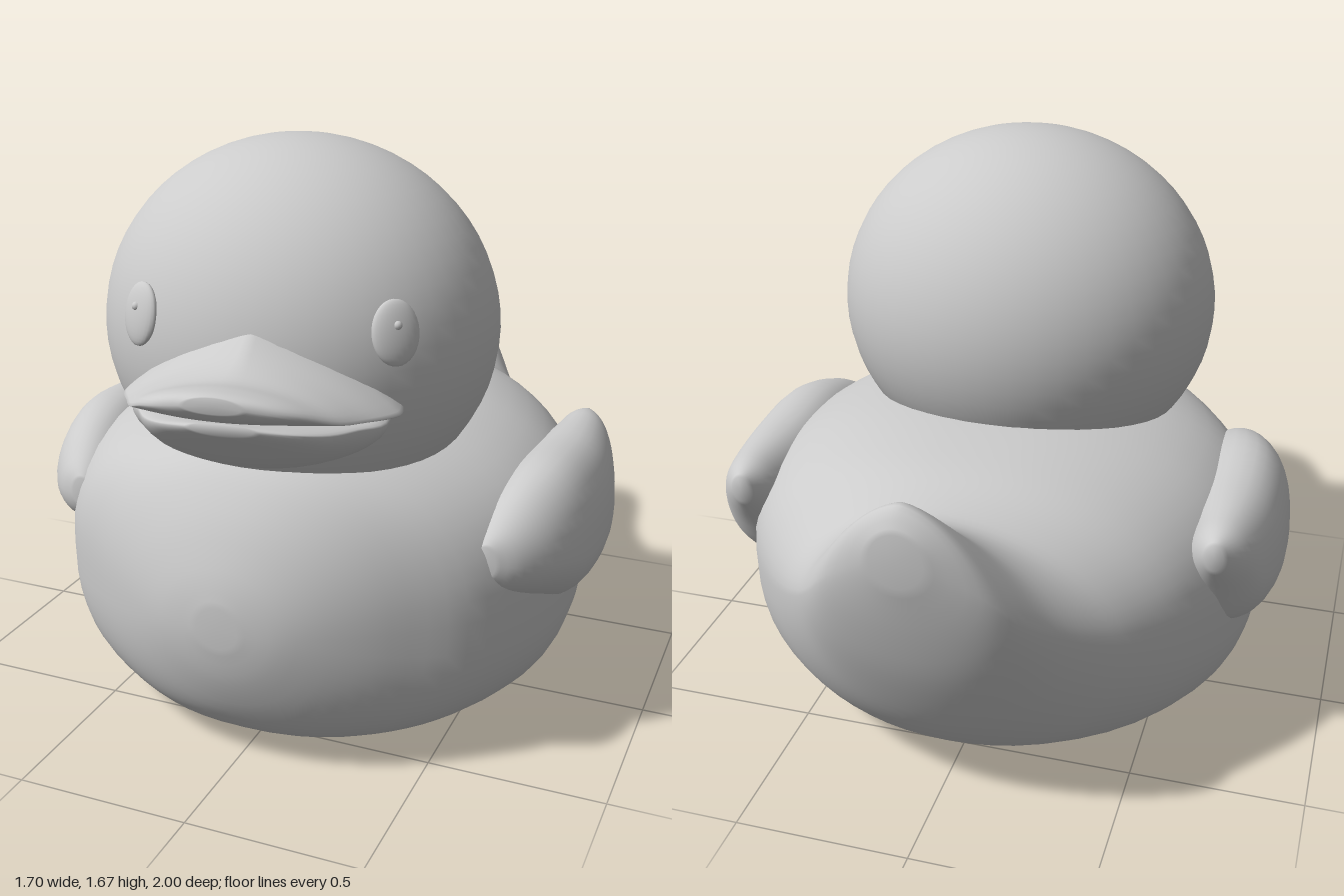
import * as THREE from 'three';

const material = new THREE.MeshStandardMaterial({ color: 0xcccccc });

// Catmull-Rom blend of one number
function blend(a, b, c, d, t) {
  return 0.5 * (2 * b + (c - a) * t + (2 * a - 5 * b + 4 * c - d) * t * t + (3 * b - a - 3 * c + d) * t * t * t);
}

// Smooth loft from front to back.
// Station: [z, bottom y, widest y, top y, half width, centre x, top roundness, bottom roundness]
function loft(stations, sides = 40, steps = 4) {
  const rows = [];
  const at = i => stations[Math.min(Math.max(i, 0), stations.length - 1)];
  for (let i = 0; i < stations.length - 1; i++) {
    for (let s = 0; s < steps; s++) {
      rows.push(at(i).map((_, k) => blend(at(i - 1)[k], at(i)[k], at(i + 1)[k], at(i + 2)[k], s / steps)));
    }
  }
  rows.push(at(stations.length - 1));

  const points = [], index = [];
  for (const [z, bottom, mid, top, width, cx, nTop, nBottom] of rows) {
    for (let j = 0; j < sides; j++) {
      const a = (j / sides) * Math.PI * 2, c = Math.cos(a), s = Math.sin(a);
      const power = 2 / (s >= 0 ? nTop : nBottom);
      const x = Math.sign(c) * Math.abs(c) ** power;
      const y = Math.abs(s) ** power * (s >= 0 ? top - mid : bottom - mid);
      points.push(cx + width * x, mid + y, z);
    }
  }
  for (let i = 0; i < rows.length - 1; i++) {
    for (let j = 0; j < sides; j++) {
      const a = i * sides + j, b = i * sides + (j + 1) % sides;
      index.push(a, a + sides, b, b, a + sides, b + sides);
    }
  }
  // End caps
  const last = (rows.length - 1) * sides, front = rows.length * sides;
  for (const r of [rows[0], rows[rows.length - 1]]) points.push(r[5], (r[1] + r[3]) / 2, r[0]);
  for (let j = 0; j < sides; j++) {
    const k = (j + 1) % sides;
    index.push(front, j, k, front + 1, last + k, last + j);
  }
  const geometry = new THREE.BufferGeometry();
  geometry.setAttribute('position', new THREE.Float32BufferAttribute(points, 3));
  geometry.setIndex(index);
  geometry.computeVertexNormals();
  return geometry;
}

function part(name, geometry, parent) {
  const mesh = new THREE.Mesh(geometry, material);
  mesh.name = name;
  parent.add(mesh);
  return mesh;
}

export function createModel() {
  const model = new THREE.Group();
  model.name = 'toyDuck';

  // Body sweeping up into the pointed tail
  part('bodyAndTail', loft([
    [0.79, 0.40, 0.45, 0.52, 0.06, 0, 2, 2],
    [0.765, 0.28, 0.45, 0.62, 0.18, 0, 2, 2],
    [0.70, 0.14, 0.45, 0.76, 0.32, 0, 2.1, 2.3],
    [0.60, 0.05, 0.45, 0.87, 0.47, 0, 2.2, 2.6],
    [0.45, 0.015, 0.45, 0.90, 0.64, 0, 2.3, 2.9],
    [0.20, 0, 0.45, 0.92, 0.76, 0, 2.4, 3],
    [-0.05, 0, 0.46, 0.93, 0.775, 0, 2.4, 3],
    [-0.25, 0.005, 0.47, 0.93, 0.74, 0, 2.3, 2.9],
    [-0.45, 0.03, 0.50, 0.91, 0.65, 0, 2.2, 2.6],
    [-0.60, 0.09, 0.53, 0.875, 0.54, 0, 2, 2.3],
    [-0.70, 0.17, 0.57, 0.87, 0.45, 0, 1.8, 2.1],
    [-0.80, 0.30, 0.64, 0.93, 0.36, 0, 1.6, 2],
    [-0.90, 0.50, 0.73, 1.03, 0.28, 0, 1.5, 2],
    [-0.96, 0.68, 0.82, 1.06, 0.20, 0, 1.6, 2],
    [-1.00, 0.85, 0.92, 1.00, 0.07, 0, 2, 2],
  ], 56), model);

  // Head
  const head = part('head', new THREE.SphereGeometry(1, 48, 32), model);
  head.scale.set(0.56, 0.52, 0.5);
  head.position.set(0, 1.15, 0.21);

  // Wings with a tip standing off the body
  for (const [name, side] of [['leftWing', 1], ['rightWing', -1]]) {
    part(name, loft([
      [0.43, 0.56, 0.60, 0.65, 0.03, 0.62, 2, 2],
      [0.39, 0.51, 0.59, 0.69, 0.08, 0.64, 2, 2],
      [0.28, 0.45, 0.57, 0.76, 0.13, 0.67, 2, 2],
      [0.12, 0.38, 0.54, 0.80, 0.15, 0.695, 2.2, 2],
      [-0.10, 0.37, 0.54, 0.79, 0.15, 0.70, 2.2, 2],
      [-0.27, 0.42, 0.58, 0.785, 0.12, 0.70, 2.1, 2],
      [-0.37, 0.57, 0.67, 0.78, 0.08, 0.695, 2, 2],
      [-0.44, 0.68, 0.72, 0.76, 0.025, 0.69, 2, 2],
    ].map(s => s.map((v, k) => (k === 5 ? v * side : v))), 32), model);
  }

  // Bill, turned a little to the left
  const bill = new THREE.Group();
  bill.name = 'bill';
  bill.position.set(0.01, 0, 0.21);
  bill.rotation.y = 0.13;
  model.add(bill);
  part('upperBill', loft([
    [0.79, 1.145, 1.16, 1.185, 0.07, 0, 2, 2],
    [0.765, 1.12, 1.145, 1.19, 0.15, 0, 1.9, 2],
    [0.72, 1.10, 1.125, 1.188, 0.21, 0, 1.8, 2],
    [0.64, 1.08, 1.09, 1.18, 0.27, 0, 1.6, 2],
    [0.55, 1.06, 1.07, 1.21, 0.315, 0, 1.3, 2],
    [0.46, 1.03, 1.055, 1.27, 0.36, 0, 1.15, 2],
    [0.40, 1.02, 1.05, 1.28, 0.37, 0, 1.15, 2],
    [0.28, 1.02, 1.05, 1.28, 0.34, 0, 1.15, 2],
  ], 40), bill);
  part('lowerBill', loft([
    [0.73, 1.07, 1.085, 1.10, 0.08, 0, 2, 2],
    [0.69, 1.03, 1.07, 1.09, 0.17, 0, 2, 2],
    [0.62, 0.965, 1.05, 1.08, 0.24, 0, 2, 2],
    [0.54, 0.915, 1.04, 1.07, 0.29, 0, 2, 2],
    [0.45, 0.91, 1.03, 1.07, 0.34, 0, 2, 2],
    [0.28, 0.93, 1.03, 1.07, 0.32, 0, 2, 2],
  ], 40), bill);

  // Eyes lying flat on the head, each with a small pupil bump
  for (const [name, x] of [['leftEye', 0.40], ['rightEye', -0.27]]) {
    const dx = x / 0.56, dy = 0.1 / 0.52, dz = Math.sqrt(1 - dx * dx - dy * dy);
    const eye = new THREE.Group();
    eye.name = name;
    eye.position.set(x, 1.25, 0.21 + 0.5 * dz);
    eye.lookAt(x + dx / 0.56, 1.25 + dy / 0.52, eye.position.z + dz / 0.5);
    part('eyeball', new THREE.SphereGeometry(1, 24, 16), eye).scale.set(0.065, 0.085, 0.022);
    const pupil = part('pupil', new THREE.SphereGeometry(0.012, 12, 8), eye);
    pupil.position.set(0, 0.02, 0.017);
    model.add(eye);
  }
  return model;
}
